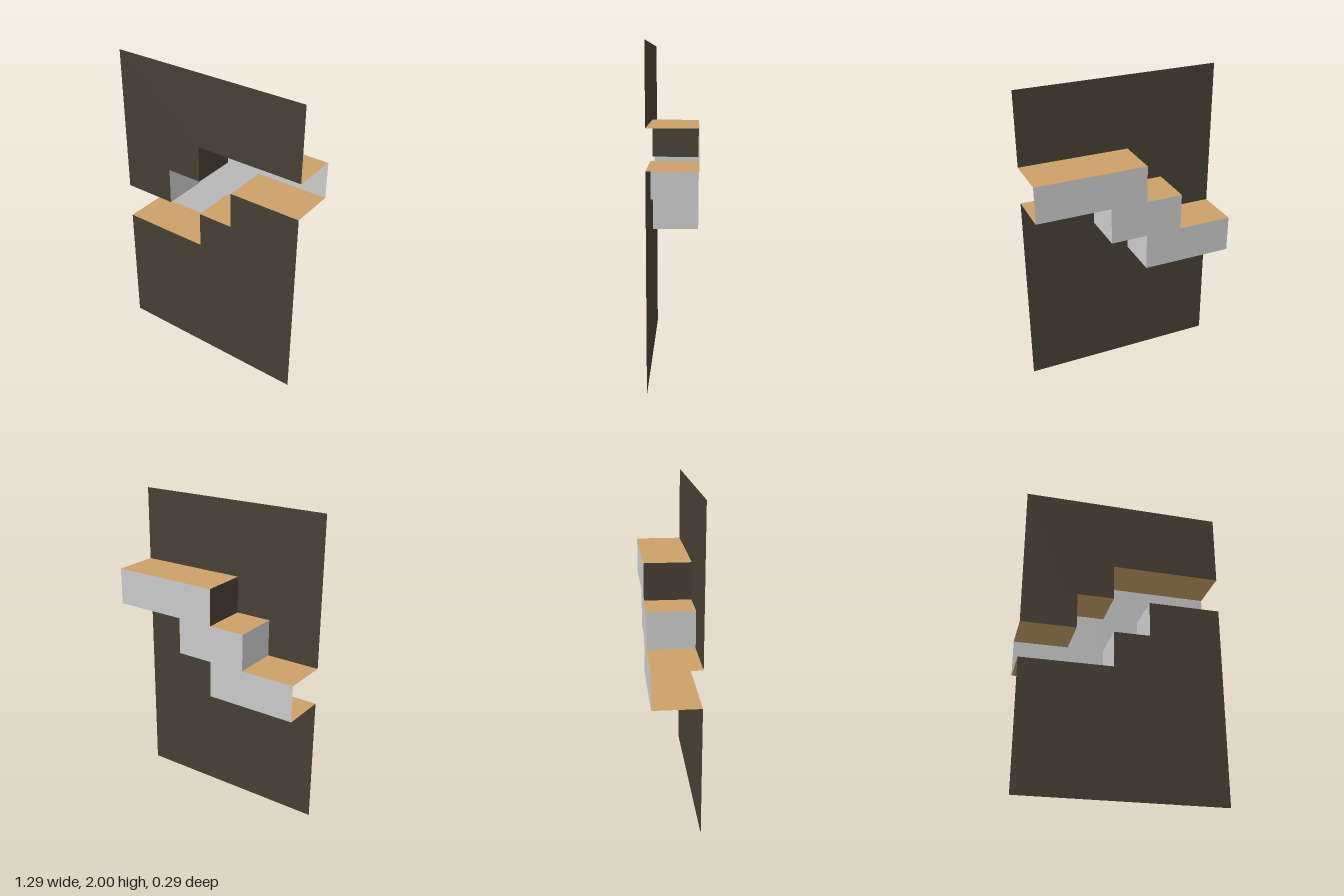
import * as THREE from 'three';

const HALF_W = 0.645, HEIGHT = 2, DEPTH = 0.294;

// Stepped edges bounding the channel, from the right (-x) to the left (+x)
const upperEdge = [[-HALF_W, 1.06], [-0.295, 1.06], [-0.295, 1.295], [-0.06, 1.295], [-0.06, 1.53], [HALF_W, 1.53]];
const lowerEdge = [[-HALF_W, 0.825], [-0.06, 0.825], [-0.06, 1.06], [0.175, 1.06], [0.175, 1.295], [HALF_W, 1.295]];

const material = (color) => new THREE.MeshStandardMaterial({ color, side: THREE.DoubleSide });

export function createModel() {
  const model = new THREE.Group();
  const dark = material(0x473f34), wood = material(0xcca169), grey = material(0xcccccc);

  // Flat stepped sheet facing the front
  const addSheet = (name, points, z, mat) => {
    const shape = new THREE.Shape(points.map(([x, y]) => new THREE.Vector2(x, y)));
    const mesh = new THREE.Mesh(new THREE.ShapeGeometry(shape), mat);
    mesh.name = name;
    mesh.position.z = z;
    model.add(mesh);
  };

  // Ledges and risers joining the front sheets to the recessed one
  const addSteps = (name, edge, riserMaterials) => {
    const steps = new THREE.Group();
    steps.name = name;
    for (let i = 0; i < edge.length - 1; i++) {
      const [x0, y0] = edge[i], [x1, y1] = edge[i + 1];
      const level = y0 === y1;
      const geometry = level
        ? new THREE.PlaneGeometry(x1 - x0, DEPTH).rotateX(-Math.PI / 2)
        : new THREE.PlaneGeometry(DEPTH, y1 - y0).rotateY(Math.PI / 2);
      const mesh = new THREE.Mesh(geometry, level ? wood : riserMaterials[(i - 1) / 2]);
      mesh.name = level ? 'ledge' : 'riser';
      mesh.position.set((x0 + x1) / 2, (y0 + y1) / 2, 0);
      steps.add(mesh);
    }
    model.add(steps);
  };

  // Front panels above and below the channel
  addSheet('upperPanel', [...upperEdge, [HALF_W, HEIGHT], [-HALF_W, HEIGHT]], DEPTH / 2, dark);
  addSheet('lowerPanel', [[-HALF_W, 0], [HALF_W, 0], ...[...lowerEdge].reverse()], DEPTH / 2, dark);

  // Recessed back of the channel
  addSheet('channelBack', [...lowerEdge, ...[...upperEdge].reverse()], -DEPTH / 2, grey);

  addSteps('upperSteps', upperEdge, [grey, dark]);
  addSteps('lowerSteps', lowerEdge, [grey, grey]);

  return model;
}
